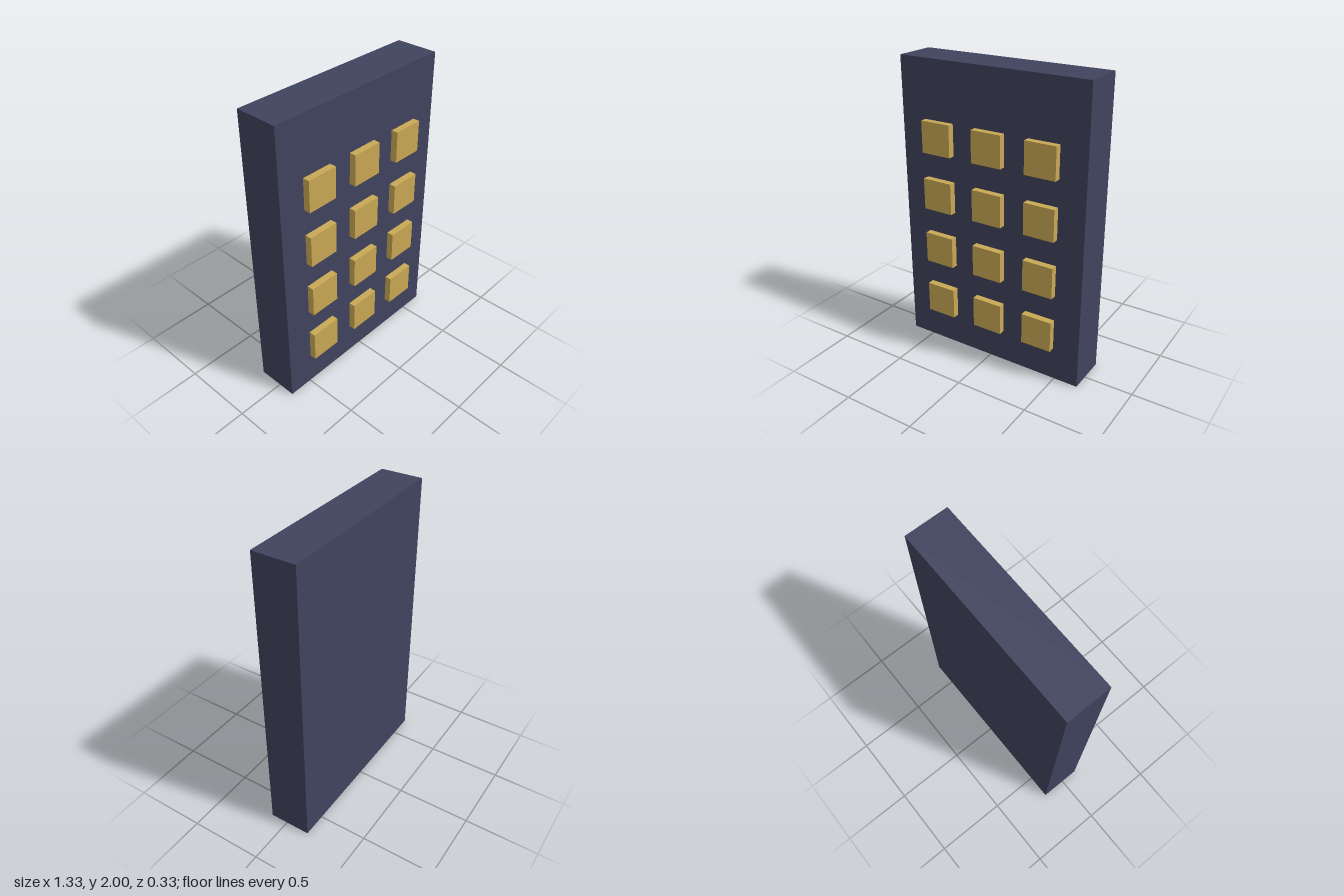
import * as THREE from 'three';

export function createModel() {
  const model = new THREE.Group();
  const navy = new THREE.MeshStandardMaterial({ color: 0x3f435d });
  navy.name = 'slateNavy';
  const gold = new THREE.MeshStandardMaterial({ color: 0xc9a855 });
  gold.name = 'warmGold';

  // Upright slab, z from -0.167 to 0.121
  const slab = new THREE.Mesh(new THREE.BoxGeometry(1.333, 2, 0.288), navy);
  slab.name = 'slab';
  slab.position.set(0, 1, -0.023);
  model.add(slab);

  // Grid of raised square panels, seated slightly into the slab front
  const panels = new THREE.Group();
  panels.name = 'panels';
  const panelGeometry = new THREE.BoxGeometry(0.213, 0.213, 0.067);
  for (let row = 0; row < 4; row++) {
    for (let col = -1; col <= 1; col++) {
      const panel = new THREE.Mesh(panelGeometry, gold);
      panel.name = 'panel';
      panel.position.set(col * 0.379, 0.335 + row * 0.39, 0.1335);
      panels.add(panel);
    }
  }
  model.add(panels);
  return model;
}
